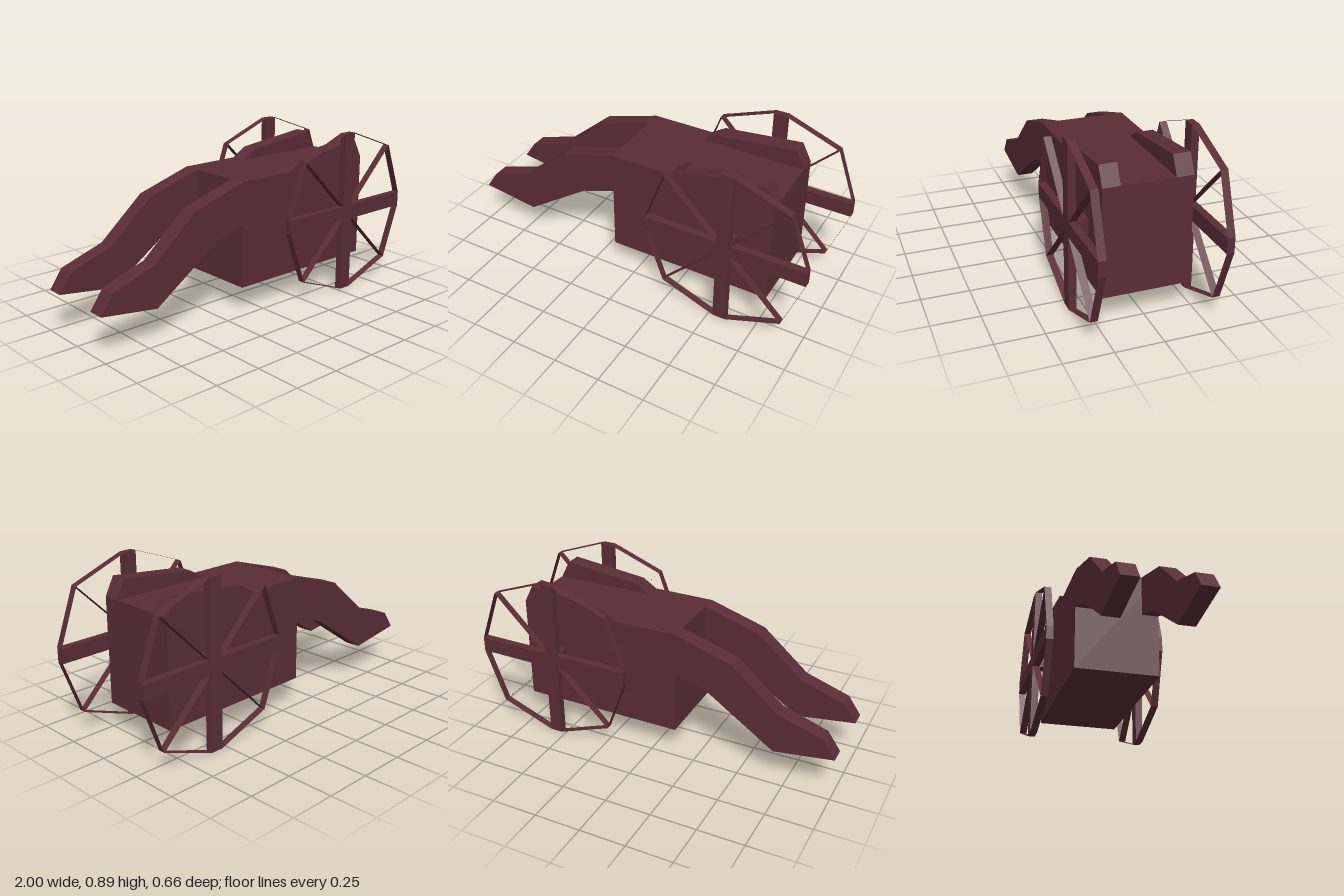
import * as THREE from 'three';

const material = new THREE.MeshStandardMaterial({ color: 0x5a2d35, flatShading: true });
const sheetMaterial = material.clone();
sheetMaterial.side = THREE.DoubleSide;

function box(name, [x0, x1], [y0, y1], [z0, z1]) {
  const mesh = new THREE.Mesh(new THREE.BoxGeometry(x1 - x0, y1 - y0, z1 - z0), material);
  mesh.position.set((x0 + x1) / 2, (y0 + y1) / 2, (z0 + z1) / 2);
  mesh.name = name;
  return mesh;
}

// Side profile in x and y, extruded from z0 to z1
function slab(name, points, z0, z1) {
  const shape = new THREE.Shape(points.map(([x, y]) => new THREE.Vector2(x, y)));
  const geometry = new THREE.ExtrudeGeometry(shape, { depth: z1 - z0, bevelEnabled: false });
  const mesh = new THREE.Mesh(geometry, material);
  mesh.position.z = z0;
  mesh.name = name;
  return mesh;
}

// Thin strip along a line in x and y, as wide as the wheel
function strip(name, [x0, y0], [x1, y1], width) {
  const geometry = new THREE.PlaneGeometry(Math.hypot(x1 - x0, y1 - y0), width);
  geometry.rotateX(-Math.PI / 2);
  geometry.rotateZ(Math.atan2(y1 - y0, x1 - x0));
  const mesh = new THREE.Mesh(geometry, sheetMaterial);
  mesh.position.set((x0 + x1) / 2, (y0 + y1) / 2, 0);
  mesh.name = name;
  return mesh;
}

function createWheel() {
  const wheel = new THREE.Group();
  const r = 0.445, d = 0.333, hx = 0.035, hy = 0.04, w = 0.04;
  const depth = [-w / 2, w / 2];
  wheel.add(box('verticalSpoke', [-hx, hx], [-r, r], depth));
  wheel.add(box('horizontalSpoke', [-0.44, 0.44], [-hy, hy], depth));
  // Two rim strips in each quarter, meeting at the diagonal spoke
  for (const sx of [-1, 1]) {
    for (const sy of [-1, 1]) {
      const corner = [sx * d, sy * d];
      wheel.add(strip('rim', [sx * hx, sy * r], corner, w));
      wheel.add(strip('rim', corner, [sx * 0.44, sy * hy], w));
      wheel.add(strip('diagonalSpoke', [0, 0], corner, w));
    }
  }
  return wheel;
}

export function createModel() {
  const model = new THREE.Group();
  model.name = 'cart';
  model.add(box('body', [-0.13, 0.77], [0.145, 0.715], [-0.228, 0.228]));

  const arm = [
    [-0.13, 0.715], [-0.44, 0.62], [-0.69, 0.405], [-0.93, 0.325],
    [-1, 0.225], [-0.68, 0.18], [-0.32, 0.425], [-0.13, 0.49],
  ];
  const ridge = [[0.21, 0.715], [0.77, 0.715], [0.72, 0.812], [0.29, 0.765]];

  // Arms, top ridges, axles and wheels on both sides
  for (const [side, s] of [['Front', 1], ['Back', -1]]) {
    const range = (a, b) => (s > 0 ? [a, b] : [-b, -a]);
    model.add(slab('arm' + side, arm, ...range(0.138, 0.228)));
    model.add(slab('ridge' + side, ridge, ...range(0.138, 0.228)));
    model.add(box('axle' + side, [0.525, 0.595], [0.405, 0.485], range(0.22, 0.292)));
    const wheel = createWheel();
    wheel.name = 'wheel' + side;
    wheel.position.set(0.56, 0.445, s * 0.312);
    model.add(wheel);
  }
  return model;
}
